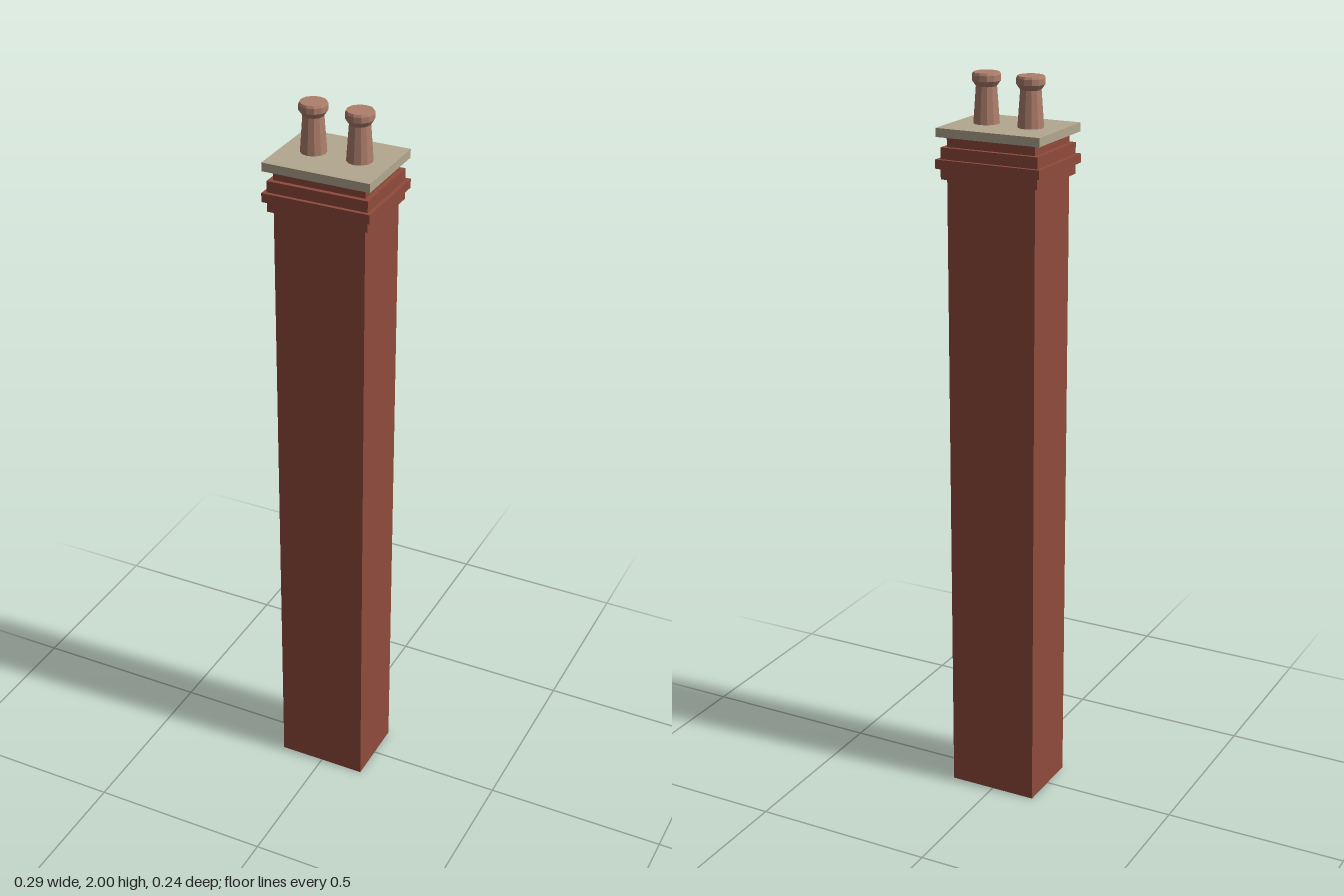
import * as THREE from 'three';

const mat = (name, color, flatShading = false) => {
  const m = new THREE.MeshStandardMaterial({ color });
  m.name = name;
  m.flatShading = flatShading;
  return m;
};

export function createModel() {
  const group = new THREE.Group();
  group.name = 'chimney';
  const brick = mat('brick red', 0x8f4b3c);
  const stone = mat('cap stone', 0xb3a890);
  const clay = mat('terracotta', 0xae7f6c, true);

  // Box given by half width, half depth, bottom and top
  const block = (name, hx, hz, y0, y1, material) => {
    const mesh = new THREE.Mesh(new THREE.BoxGeometry(hx * 2, y1 - y0, hz * 2), material);
    mesh.position.y = (y0 + y1) / 2;
    mesh.name = name;
    group.add(mesh);
  };

  // Brick shaft with stepped courses near the top
  block('shaft', 0.125, 0.098, 0, 1.738, brick);
  block('lowerCourse', 0.137, 0.11, 1.738, 1.766, brick);
  block('middleCourse', 0.147, 0.12, 1.766, 1.79, brick);
  block('upperCourse', 0.137, 0.11, 1.79, 1.82, brick);
  block('neck', 0.125, 0.098, 1.82, 1.847, brick);

  // Stone slab
  block('capSlab', 0.146, 0.118, 1.847, 1.87, stone);

  // Two tapered pots with flared rims
  const profile = [
    [0.034, 1.868], [0.027, 1.965], [0.037, 1.979],
    [0.037, 1.994], [0.034, 2], [0, 2],
  ].map(([r, y]) => new THREE.Vector2(r, y));
  const potGeometry = new THREE.LatheGeometry(profile, 12);
  for (const [name, x] of [['rightPot', -0.063], ['leftPot', 0.063]]) {
    const pot = new THREE.Mesh(potGeometry, clay);
    pot.position.x = x;
    pot.name = name;
    group.add(pot);
  }
  return group;
}
